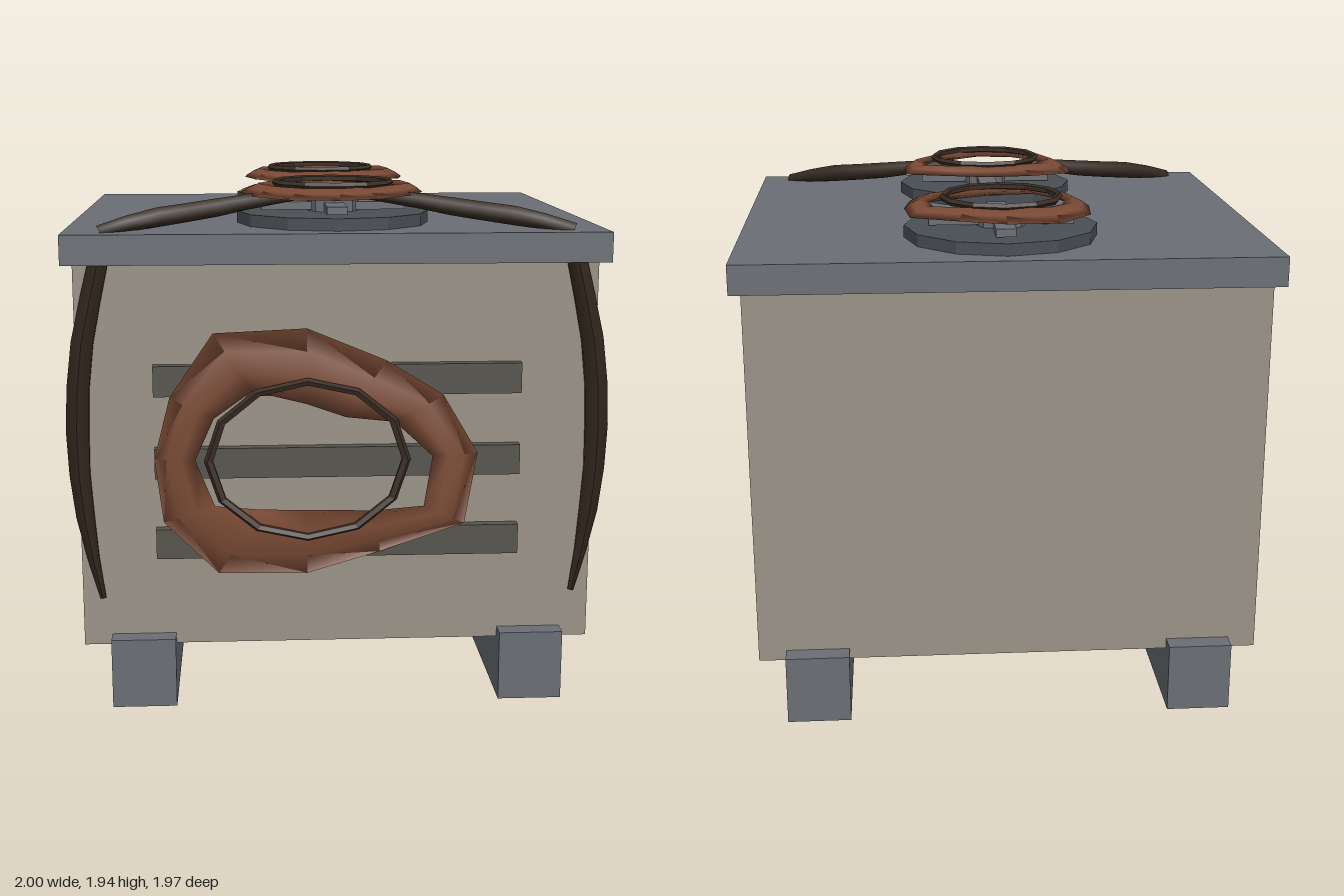
import * as THREE from 'three';

const mat = (color, flatShading = true) => new THREE.MeshStandardMaterial({ color, flatShading });
const panel = mat(0x9a9286), steel = mat(0x6a6f75), slat = mat(0x55544c), iron = mat(0x4a4f54);
const rust = mat(0x7a4a34, false), bark = mat(0x33271e, false), hoop = mat(0x3a2d24);

function add(parent, name, geometry, material, x = 0, y = 0, z = 0) {
  const mesh = new THREE.Mesh(geometry, material);
  mesh.name = name;
  mesh.position.set(x, y, z);
  parent.add(mesh);
  return mesh;
}

// Box given by its extents on each axis
function box(parent, name, material, [x0, x1], [y0, y1], [z0, z1]) {
  return add(parent, name, new THREE.BoxGeometry(x1 - x0, y1 - y0, z1 - z0), material,
    (x0 + x1) / 2, (y0 + y1) / 2, (z0 + z1) / 2);
}

// Ragged ring in the XY plane: matching outer and inner outlines (clockwise),
// joined by a knife-edged section that bulges to +z
function raggedRing(outer, inner, height) {
  const section = [[0, 0], [0.3, 0.55], [0.65, 1], [1, 0.6], [0.6, 0]];
  const n = outer.length, m = section.length, pos = [], index = [];
  for (let i = 0; i < n; i++) {
    for (const [t, h] of section) {
      pos.push(THREE.MathUtils.lerp(outer[i][0], inner[i][0], t),
        THREE.MathUtils.lerp(outer[i][1], inner[i][1], t), h * height);
    }
    for (let j = 0; j < m; j++) {
      const k = (i + 1) % n, l = (j + 1) % m;
      const a = i * m + j, b = k * m + j, c = k * m + l, d = i * m + l;
      index.push(a, d, c, a, c, b);
    }
  }
  const g = new THREE.BufferGeometry();
  g.setAttribute('position', new THREE.Float32BufferAttribute(pos, 3));
  g.setIndex(index);
  g.computeVertexNormals();
  return g;
}

// Tube whose radius follows a list of values spread along its length
function taperedTube(points, radii, segments, sides) {
  const curve = new THREE.CatmullRomCurve3(points.map(p => new THREE.Vector3(...p)));
  const g = new THREE.TubeGeometry(curve, segments, 1, sides);
  const pos = g.attributes.position, v = new THREE.Vector3();
  for (let i = 0; i <= segments; i++) {
    const u = i / segments, f = u * (radii.length - 1), k = Math.min(Math.floor(f), radii.length - 2);
    const r = THREE.MathUtils.lerp(radii[k], radii[k + 1], f - k);
    const centre = curve.getPointAt(u);
    for (let j = 0; j <= sides; j++) {
      const id = i * (sides + 1) + j;
      v.fromBufferAttribute(pos, id).sub(centre).multiplyScalar(r).add(centre);
      pos.setXYZ(id, v.x, v.y, v.z);
    }
  }
  g.computeVertexNormals();
  return g;
}

export function createModel() {
  const model = new THREE.Group();
  model.name = 'cabinet';

  // Cabinet, lid and floor skids
  box(model, 'body', panel, [-0.96, 0.95], [0.225, 1.67], [-0.91, 0.875]);
  box(model, 'lid', steel, [-1, 0.99], [1.665, 1.775], [-0.95, 0.915]);
  box(model, 'rightSkid', steel, [-0.855, -0.615], [0, 0.265], [-0.984, 0.946]);
  box(model, 'leftSkid', steel, [0.605, 0.845], [0, 0.265], [-0.984, 0.946]);

  // Front slats
  for (const y of [0.57, 0.877, 1.185]) {
    box(model, 'slat', slat, [-0.68, 0.67], [y, y + 0.113], [0.85, 0.915]);
  }

  // Round vents on the lid: disc, cross bars and hub
  for (const z of [0.467, -0.505]) {
    const vent = new THREE.Group();
    vent.name = 'vent';
    vent.position.set(0, 1.77, z);
    add(vent, 'ventDisc', new THREE.CylinderGeometry(0.368, 0.368, 0.05, 12), iron, 0, 0.025);
    add(vent, 'crossBar', new THREE.BoxGeometry(0.55, 0.03, 0.075), steel, 0, 0.07);
    add(vent, 'crossBar', new THREE.BoxGeometry(0.075, 0.03, 0.55), steel, 0, 0.07);
    add(vent, 'hub', new THREE.CylinderGeometry(0.1, 0.1, 0.05, 8), steel, 0, 0.068);
    model.add(vent);
  }

  // Rusty ring with a dark hoop on the front
  const frontOuter = [[-0.46, 1.42], [-0.12, 1.435], [0.17, 1.315], [0.38, 1.185], [0.51, 0.965], [0.465, 0.695],
    [0.15, 0.59], [-0.12, 0.51], [-0.45, 0.515], [-0.65, 0.715], [-0.68, 0.955], [-0.62, 1.185]];
  const frontInner = [[-0.32, 1.21], [-0.12, 1.16], [0.02, 1.11], [0.2, 1.09], [0.34, 0.96], [0.31, 0.77],
    [0.13, 0.755], [-0.12, 0.76], [-0.3, 0.765], [-0.46, 0.78], [-0.53, 0.955], [-0.46, 1.11]];
  add(model, 'frontRustRing', raggedRing(frontOuter, frontInner, 0.036), rust, 0, 0, 0.925);
  add(model, 'frontHoop', new THREE.TorusGeometry(0.36, 0.018, 5, 12).scale(1, 0.81, 1), hoop, -0.12, 0.955, 0.966);

  // Rusty rings with hoops above the vents, outlines as x, z
  const lidRings = [
    {
      z: 0.46,
      outer: [[-0.35, 0.25], [-0.18, 0.19], [0, 0.17], [0.17, 0.21], [0.345, 0.26], [0.35, 0.435],
        [0.28, 0.61], [0.15, 0.78], [0, 0.837], [-0.18, 0.8], [-0.3, 0.645], [-0.355, 0.43]],
      inner: [[-0.19, 0.35], [-0.1, 0.31], [0, 0.26], [0.15, 0.27], [0.24, 0.3], [0.27, 0.45],
        [0.19, 0.53], [0.07, 0.6], [0.03, 0.67], [-0.1, 0.66], [-0.19, 0.58], [-0.25, 0.45]],
    },
    {
      z: -0.508,
      outer: [[-0.195, -0.84], [0, -0.847], [0.17, -0.78], [0.345, -0.7], [0.365, -0.515], [0.34, -0.355],
        [0.16, -0.23], [0, -0.147], [-0.2, -0.16], [-0.29, -0.32], [-0.335, -0.505], [-0.32, -0.68]],
      inner: [[-0.15, -0.65], [0, -0.665], [0.13, -0.66], [0.25, -0.655], [0.27, -0.5], [0.22, -0.41],
        [0.11, -0.37], [0, -0.31], [-0.12, -0.3], [-0.2, -0.38], [-0.24, -0.51], [-0.22, -0.6]],
    },
  ];
  const flip = list => list.map(([x, z]) => [x, -z]);
  for (const { z, outer, inner } of lidRings) {
    const ring = raggedRing(flip(outer), flip(inner), 0.036).rotateX(-Math.PI / 2);
    add(model, 'lidRustRing', ring, rust, 0, 1.885);
    const band = new THREE.TorusGeometry(0.22, 0.014, 5, 12).rotateX(-Math.PI / 2).scale(1, 1, 1.04);
    add(model, 'lidHoop', band, hoop, 0, 1.926, z);
  }

  // Dark roots: one up each front corner, one from there to the front vent
  for (const side of [1, -1]) {
    const mirror = list => list.map(([x, y, z]) => [x * side, y, z]);
    const stem = [[0.885, 0.41, 0.875], [0.93, 0.65, 0.875], [0.958, 0.95, 0.872], [0.94, 1.33, 0.872], [0.86, 1.7, 0.87]];
    add(model, 'cornerRoot', taperedTube(mirror(stem), [0.012, 0.038, 0.048, 0.046, 0.04], 8, 6), bark);
    const runner = [[0.87, 1.775, 0.825], [0.72, 1.81, 0.755], [0.48, 1.84, 0.645], [0.25, 1.872, 0.555], [0, 1.888, 0.465]];
    add(model, 'lidRoot', taperedTube(mirror(runner), [0.024, 0.036, 0.034, 0.025, 0.006], 8, 6), bark);
  }
  return model;
}
